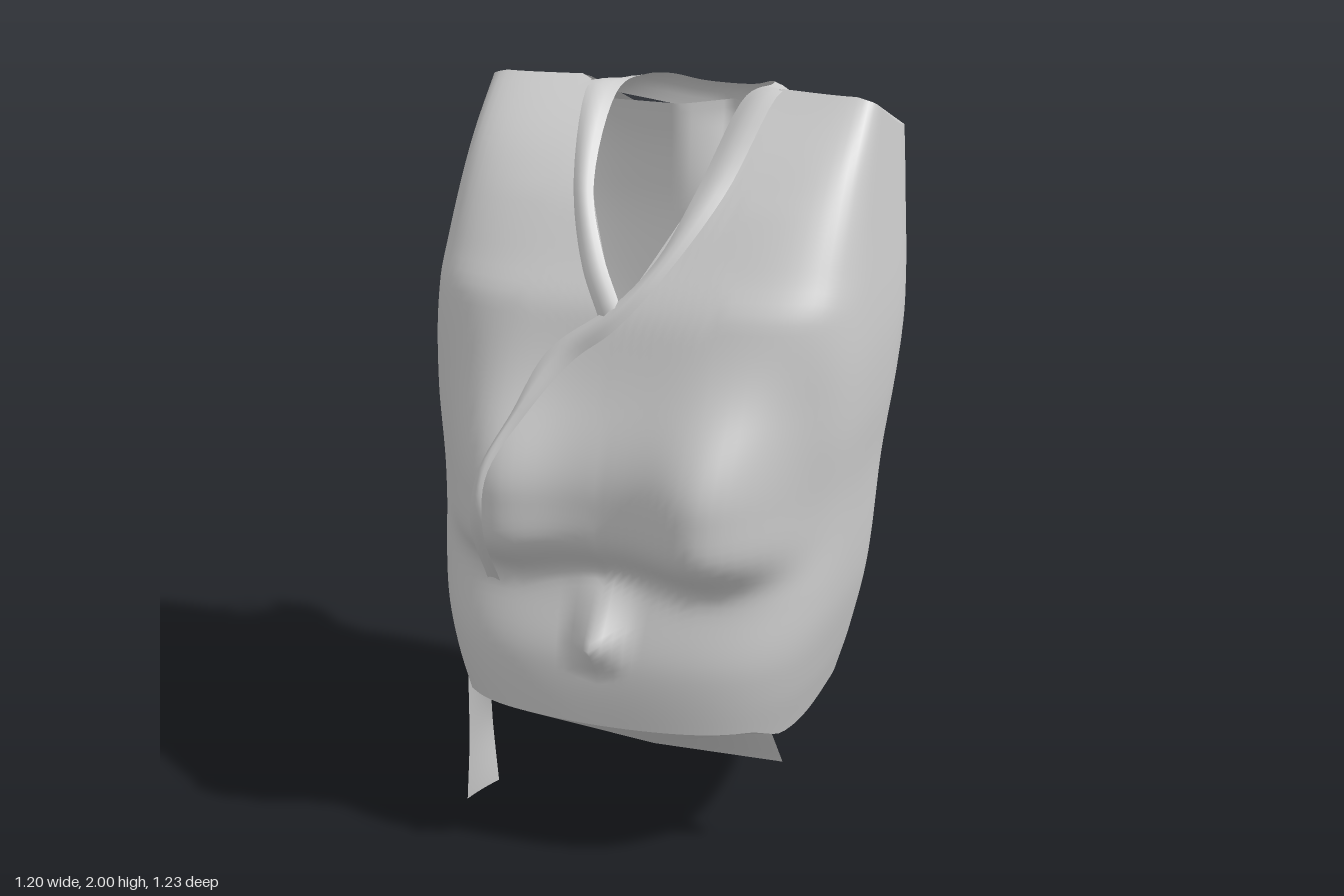
import * as THREE from 'three';
import { mergeVertices } from 'three/addons/utils/BufferGeometryUtils.js';

const material = new THREE.MeshStandardMaterial({ color: 0xcccccc, side: THREE.DoubleSide });
const { sin, cos, tan, abs, min, max, exp, PI } = Math;
const lerp = THREE.MathUtils.lerp;
const V = (x, y, z) => new THREE.Vector3(x, y, z);

// Smooth value at y through a few [y, value] stops
function curve(stops) {
  return y => {
    let i = 0;
    while (i < stops.length - 2 && y > stops[i + 1][0]) i++;
    const [y0, a] = stops[i], [y1, b] = stops[i + 1];
    const prev = stops[max(i - 1, 0)], next = stops[min(i + 2, stops.length - 1)];
    const t = min(1, max(0, (y - y0) / (y1 - y0))), h = y1 - y0;
    const m0 = (b - prev[1]) / (y1 - prev[0]) * h, m1 = (next[1] - a) / (next[0] - y0) * h;
    const t2 = t * t, t3 = t2 * t;
    return (2 * t3 - 3 * t2 + 1) * a + (t3 - 2 * t2 + t) * m0 + (3 * t2 - 2 * t3) * b + (t3 - t2) * m1;
  };
}

const halfWidth = curve([[0.22, 0.44], [0.36, 0.48], [0.5, 0.52], [0.7, 0.56], [1, 0.577], [1.2, 0.595], [1.4, 0.597], [1.7, 0.572], [2, 0.545]]);
const frontDepth = curve([[0.3, 0.54], [0.57, 0.54], [0.75, 0.48], [0.9, 0.43], [1.25, 0.41], [1.5, 0.37], [1.6, 0.3], [1.74, 0.19], [1.86, 0.08], [2, -0.09]]);
const backDepth = curve([[0.22, -0.37], [0.6, -0.36], [0.8, -0.405], [1.1, -0.455], [1.4, -0.485], [1.6, -0.495], [1.85, -0.485], [2, -0.45]]);
const middle = curve([[0.2, -0.03], [1.2, -0.05], [1.6, -0.1], [2, -0.26]]);
// Squareness of the cross-section, front and back
const frontSquare = curve([[0.3, 3.4], [0.8, 3.8], [1.5, 4.2], [2, 7]]);
const backSquare = curve([[0.3, 2.3], [0.8, 2.7], [1.15, 3.6], [1.4, 5.2], [1.85, 7]]);

// Broad bust, small centre pleat and the inward slant towards the neck, added to the front
function frontRelief(x, y) {
  const ax = abs(x), lobe = exp(-(((ax - 0.28) / 0.14) ** 2));
  const d = y - 1.04;
  const rise = d > 0 ? exp(-((d / 0.27) ** 2)) : exp(-((-d / (0.19 + 0.025 * lobe)) ** 5));
  const bust = exp(-((ax / 0.46) ** 8)) * (0.13 + 0.063 * lobe);
  const tent = y > 0.64 ? max(0, 1 - (y - 0.64) / 0.17) : max(0, 1 - (0.64 - y) / 0.09);
  const slant = max(0, (y - 1.75) / 0.25) * max(0, 1 - ax / 0.52);
  return rise * bust + 0.085 * tent * max(0, 1 - ax / 0.09) - 0.1 * slant;
}

// Front surface height above a point of the front
function frontZ(x, y) {
  const c = middle(y), r = min(1, abs(x) / halfWidth(y)), n = frontSquare(y);
  return c + (frontDepth(y) - c) * (1 - r ** n) ** (1 / n) + frontRelief(x, y);
}

// Hem and top edge by angle (0 = front, PI = back)
const hem = curve([[0, 0.4], [0.75, 0.4], [1, 0.35], [1.9, 0.36], [2.25, 0.29], [2.6, 0.24], [PI, 0.23]]);
function topEdge(a) {
  if (a < PI / 4) return min(2, 1.5 + 1.05 * tan(a));
  return 2 - 0.15 * min(1, (a - PI / 4) / (PI / 2));
}

// A point on the garment at angle a and height fraction v
function bodyPoint(a, v) {
  const y = lerp(hem(abs(a)), topEdge(abs(a)), v), c = middle(y), front = cos(a) > 0;
  const n = front ? frontSquare(y) : backSquare(y);
  const r = (abs(sin(a)) ** n + abs(cos(a)) ** n) ** (-1 / n);
  const x = halfWidth(y) * r * sin(a);
  let z = c + (front ? frontDepth(y) - c : c - backDepth(y)) * r * cos(a);
  if (front) z += frontRelief(x, y) * min(1, cos(a) * 2.5);
  else z -= 0.115 * max(0, 1 - abs(x) / 0.12) * min(1, max(0, (y - 1.52) / 0.29)); // back pleat under the collar
  return V(x, y, z);
}

// Grid surface from a rule of u and v
function surface(name, nu, nv, rule) {
  const pos = [], index = [];
  for (let j = 0; j <= nv; j++) {
    for (let i = 0; i <= nu; i++) pos.push(...rule(i / nu, j / nv).toArray());
  }
  for (let j = 0; j < nv; j++) {
    for (let i = 0; i < nu; i++) {
      const a = j * (nu + 1) + i, b = a + 1, d = a + nu + 1, c = d + 1;
      index.push(a, b, c, a, c, d);
    }
  }
  let g = new THREE.BufferGeometry();
  g.setAttribute('position', new THREE.Float32BufferAttribute(pos, 3));
  g.setIndex(index);
  g = mergeVertices(g, 1e-5);
  g.computeVertexNormals();
  const mesh = new THREE.Mesh(g, material);
  mesh.name = name;
  return mesh;
}

// Band between two rails, slightly padded along the middle
function band(name, steps, outer, inner, pad) {
  const A = new THREE.CatmullRomCurve3(outer), B = new THREE.CatmullRomCurve3(inner);
  return surface(name, steps, 4, (u, v) => {
    const p = A.getPoint(u).lerp(B.getPoint(u), v);
    const lift = pad * sin(PI * v);
    return p.add(V(0, lift, p.z > -0.3 ? lift : -lift));
  });
}

export function createModel() {
  const group = new THREE.Group();
  group.name = 'wrapVest';

  group.add(surface('body', 144, 64, (u, v) => bodyPoint((u * 2 - 1) * PI, v)));

  // Underside gathered to a low point
  const tip = V(0, 0.13, 0.09);
  group.add(surface('underside', 144, 4, (u, v) => tip.clone().lerp(bodyPoint((u * 2 - 1) * PI, 0), v)));

  for (const s of [1, -1]) {
    const side = s > 0 ? 'left' : 'right';
    const flip = V(s, 1, 1);
    // Shoulder bridging the front and back top edges
    group.add(surface(side + 'Shoulder', 24, 6, (u, v) => {
      const a = lerp(0.44, PI / 2, s > 0 ? u : 1 - u);
      return bodyPoint(a, 1).lerp(bodyPoint(PI - a, 1), v).multiply(flip);
    }));
    // Folded hem flap from the low point out to a hanging corner, uneven left and right
    const corner = s > 0 ? V(0.45, 0.26, 0.32) : V(0.48, 0.25, 0.02);
    const hemInner = V(0.1, 0.4, 0.52), hemOuter = V(0.43, 0.4, 0.39);
    group.add(surface(side + 'HemFlap', 4, 4, (u, v) => {
      const w = s > 0 ? u : 1 - u;
      return tip.clone().lerp(corner, w).lerp(hemInner.clone().lerp(hemOuter, w), v).multiply(flip);
    }));
  }

  // Collar: up the crossed lapel, around the neck and down the other side
  const on = ([x, y]) => V(x, y, frontZ(x, y) + 0.008);
  const backOuter = [[0.28, 1.91, -0.33], [0.23, 1.86, -0.48], [0.11, 1.82, -0.575]];
  const backInner = [[0.19, 1.96, -0.35], [0.15, 1.94, -0.47], [0.08, 1.91, -0.545]];
  const around = (pts, mid) => [
    ...pts.map(p => V(...p)), V(...mid),
    ...[...pts].reverse().map(([x, y, z]) => V(-x * 0.95, y, z)),
  ];
  const outer = [
    ...[[-0.3, 0.75], [-0.29, 0.95], [-0.28, 1.1], [-0.2, 1.25], [-0.1, 1.38], [0, 1.46], [0.1, 1.58], [0.22, 1.78]].map(on),
    V(0.285, 1.995, -0.1), ...around(backOuter, [0, 1.81, -0.615]), V(-0.26, 1.98, -0.12),
    ...[[-0.2, 1.78], [-0.12, 1.6], [-0.04, 1.48]].map(on),
  ];
  const inner = [
    ...[[-0.34, 0.75], [-0.335, 0.95], [-0.31, 1.1], [-0.24, 1.25], [-0.17, 1.4], [0, 1.53], [0.08, 1.63], [0.14, 1.78]].map(on),
    V(0.18, 1.97, -0.12), ...around(backInner, [0, 1.9, -0.575]), V(-0.18, 1.96, -0.12),
    ...[[-0.14, 1.77], [-0.07, 1.63], [0.01, 1.52]].map(on),
  ];
  group.add(band('collar', 120, outer, inner, 0.01));

  // Loose tie hanging from the right front
  group.add(band('hangingTie', 24,
    [V(-0.41, 0.65, 0.43), V(-0.43, 0.4, 0.41), V(-0.45, 0.2, 0.37), V(-0.47, 0, 0.35)],
    [V(-0.36, 0.6, 0.48), V(-0.4, 0.35, 0.33), V(-0.42, 0.2, 0.27), V(-0.415, 0.02, 0.25)], 0.004));

  return group;
}
